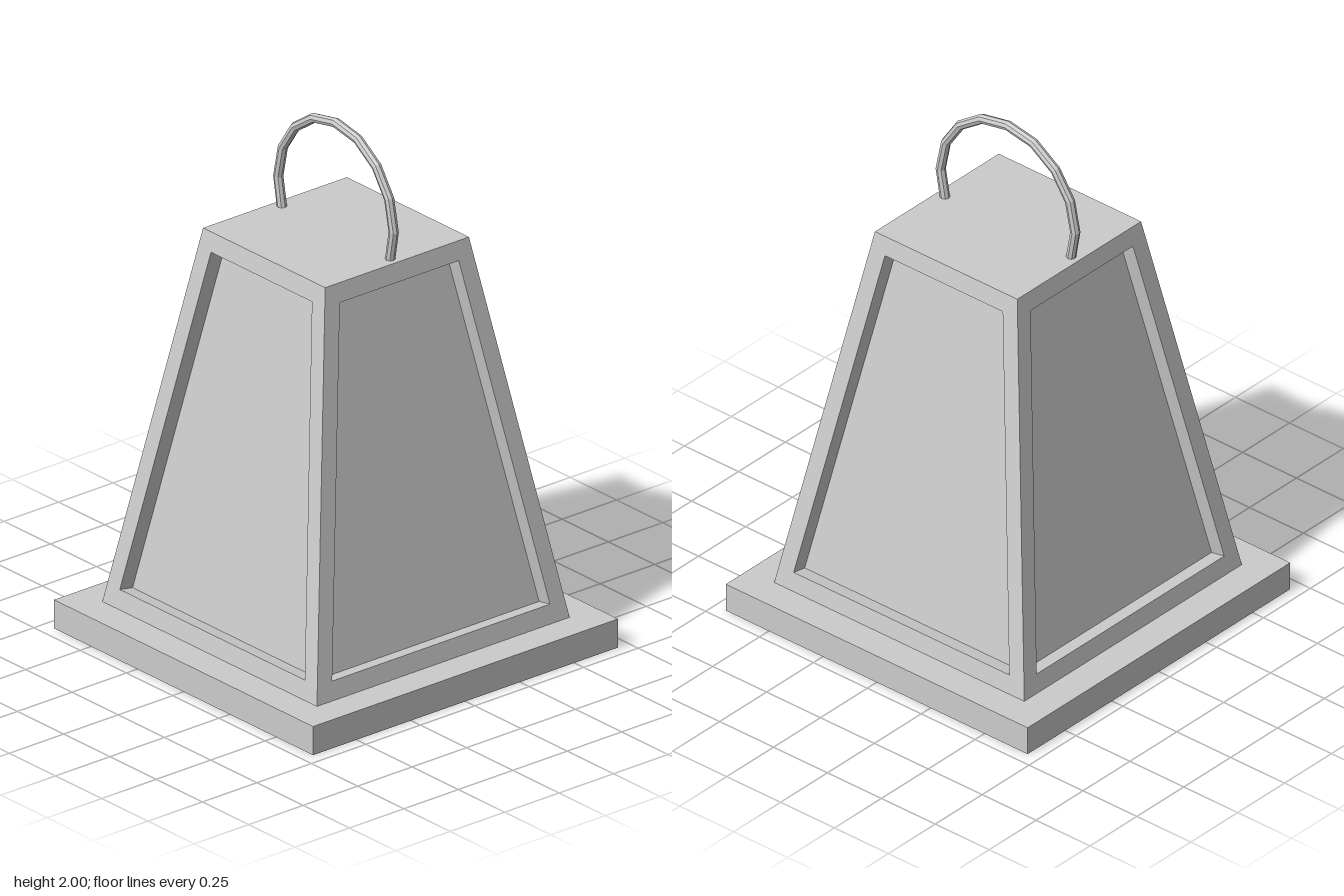
import * as THREE from 'three';

const BASE_TOP = 0.11, LID_Y = 1.56, HALF_BOTTOM = 0.58, HALF_TOP = 0.33, RECESS = 0.06;

export function createModel() {
  const model = new THREE.Group();
  model.name = 'lantern';
  const material = new THREE.MeshStandardMaterial({ color: 0xcccccc, flatShading: true });
  const add = (name, geometry, parent = model) => {
    const mesh = new THREE.Mesh(geometry, material);
    mesh.name = name;
    parent.add(mesh);
    return mesh;
  };

  // Square plinth
  add('base', new THREE.BoxGeometry(1.4, BASE_TOP, 1.4)).position.y = BASE_TOP / 2;

  const rise = LID_Y - BASE_TOP, run = HALF_BOTTOM - HALF_TOP;
  const tilt = Math.atan2(run, rise);
  const slope = Math.hypot(rise, run);

  // Tapered core whose faces are the four sunken panels
  const inset = RECESS / Math.cos(tilt);
  const core = new THREE.CylinderGeometry(
    (HALF_TOP - inset) * Math.SQRT2, (HALF_BOTTOM - inset) * Math.SQRT2, rise, 4);
  core.rotateY(Math.PI / 4).scale(1, 0.998, 1);
  add('panels', core).position.y = BASE_TOP + rise / 2;

  // Leaning trapezoid frame with a panel opening, repeated on each side
  const trapezoid = (Type, y0, half0, y1, half1) => new Type([
    new THREE.Vector2(-half0, y0), new THREE.Vector2(half0, y0),
    new THREE.Vector2(half1, y1), new THREE.Vector2(-half1, y1),
  ]);
  const shape = trapezoid(THREE.Shape, 0, HALF_BOTTOM, slope, HALF_TOP);
  shape.holes.push(trapezoid(THREE.Path, 0.071, 0.5, 1.4, 0.273));
  const depth = RECESS + 0.004;
  const frame = new THREE.ExtrudeGeometry(shape, { depth, bevelEnabled: false });
  frame.translate(0, 0, -depth).rotateX(-tilt).translate(0, BASE_TOP, HALF_BOTTOM);
  ['front', 'left', 'back', 'right'].forEach((side, i) => {
    add(side + 'Frame', frame).rotation.y = i * Math.PI / 2;
  });

  // Flat lid
  const lid = new THREE.PlaneGeometry(HALF_TOP * 2, HALF_TOP * 2);
  add('lid', lid.rotateX(-Math.PI / 2)).position.y = LID_Y;

  // Arched carrying handle running front to back
  const halfArch = [[0.291, 1.55], [0.312, 1.67], [0.288, 1.788], [0.222, 1.888], [0.118, 1.96]];
  const points = [
    ...halfArch.map(([z, y]) => new THREE.Vector3(0, y, z)),
    new THREE.Vector3(0, 1.982, 0),
    ...halfArch.slice().reverse().map(([z, y]) => new THREE.Vector3(0, y, -z)),
  ];
  add('handle', new THREE.TubeGeometry(new THREE.CatmullRomCurve3(points), 10, 0.018, 8));

  return model;
}
